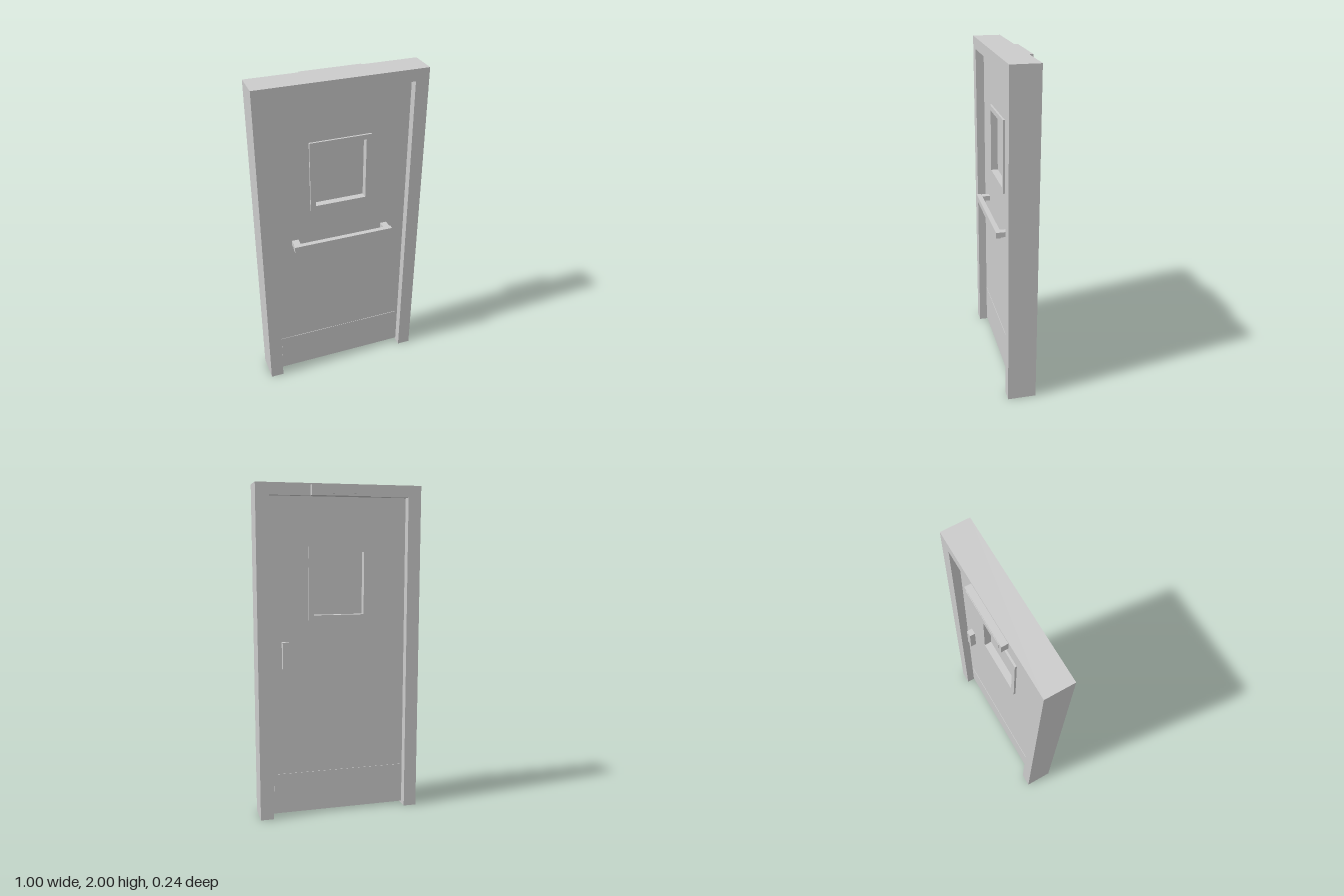
import * as THREE from 'three';

const material = new THREE.MeshStandardMaterial({ color: 0xcccccc });

function add(parent, name, geometry) {
  const mesh = new THREE.Mesh(geometry, material);
  mesh.name = name;
  parent.add(mesh);
  return mesh;
}

// Box given by its limits on each axis
function box(parent, name, [x0, x1], [y0, y1], [z0, z1]) {
  const mesh = add(parent, name, new THREE.BoxGeometry(x1 - x0, y1 - y0, z1 - z0));
  mesh.position.set((x0 + x1) / 2, (y0 + y1) / 2, (z0 + z1) / 2);
  return mesh;
}

function rectangle(Type, halfWidth, y0, y1) {
  return new Type([
    new THREE.Vector2(-halfWidth, y0), new THREE.Vector2(halfWidth, y0),
    new THREE.Vector2(halfWidth, y1), new THREE.Vector2(-halfWidth, y1),
  ]);
}

// Upright panel with a rectangular opening; outer and hole are [halfWidth, y0, y1]
function panel(parent, name, outer, hole, z0, z1) {
  const shape = rectangle(THREE.Shape, ...outer);
  shape.holes.push(rectangle(THREE.Path, ...hole));
  const geometry = new THREE.ExtrudeGeometry(shape, { depth: z1 - z0, bevelEnabled: false });
  geometry.translate(0, 0, z0);
  return add(parent, name, geometry);
}

export function createModel() {
  const model = new THREE.Group();
  model.name = 'door';

  // Frame: two jambs and a header in one portal
  const portal = new THREE.Shape([
    [-0.5, 0], [-0.42, 0], [-0.42, 1.93], [0.42, 1.93],
    [0.42, 0], [0.5, 0], [0.5, 2], [-0.5, 2],
  ].map(([x, y]) => new THREE.Vector2(x, y)));
  const frame = new THREE.ExtrudeGeometry(portal, { depth: 0.17, bevelEnabled: false });
  frame.translate(0, 0, -0.08);
  add(model, 'doorFrame', frame);

  // Leaf with a window opening
  const front = 0.04, back = -0.03;
  const opening = [0.155, 1.235, 1.61];
  panel(model, 'doorLeaf', [0.42, 0.015, 1.93], opening, back, front);

  // Window: glass in the middle, trim on both faces
  box(model, 'glass', [-0.156, 0.156], [1.234, 1.611], [0.0, 0.01]);
  const trim = [0.185, 1.205, 1.64];
  panel(model, 'frontWindowTrim', trim, opening, front, front + 0.012);
  panel(model, 'backWindowTrim', trim, opening, back - 0.012, back);

  // Kick plates
  box(model, 'frontKickPlate', [-0.405, 0.405], [0.065, 0.265], [front, front + 0.003]);
  box(model, 'backKickPlate', [-0.405, 0.405], [0.065, 0.265], [back - 0.003, back]);

  // Push bar on two posts
  const pushBar = new THREE.Group();
  pushBar.name = 'pushBar';
  model.add(pushBar);
  box(pushBar, 'bar', [-0.31, 0.31], [0.985, 1.02], [0.09, 0.12]);
  for (const [name, x] of [['leftPost', 0.285], ['rightPost', -0.285]]) {
    box(pushBar, name, [x - 0.02, x + 0.02], [0.987, 1.018], [front, 0.09]);
  }

  // Pull handle on the back
  box(model, 'pullHandle', [0.31, 0.35], [0.92, 1.08], [-0.065, back]);

  // Door closer on the header
  box(model, 'closerBody', [-0.18, 0.18], [1.93, 1.99], [-0.118, -0.08]);
  box(model, 'closerCover', [-0.16, 0.16], [1.942, 1.982], [-0.121, -0.118]);

  return model;
}
